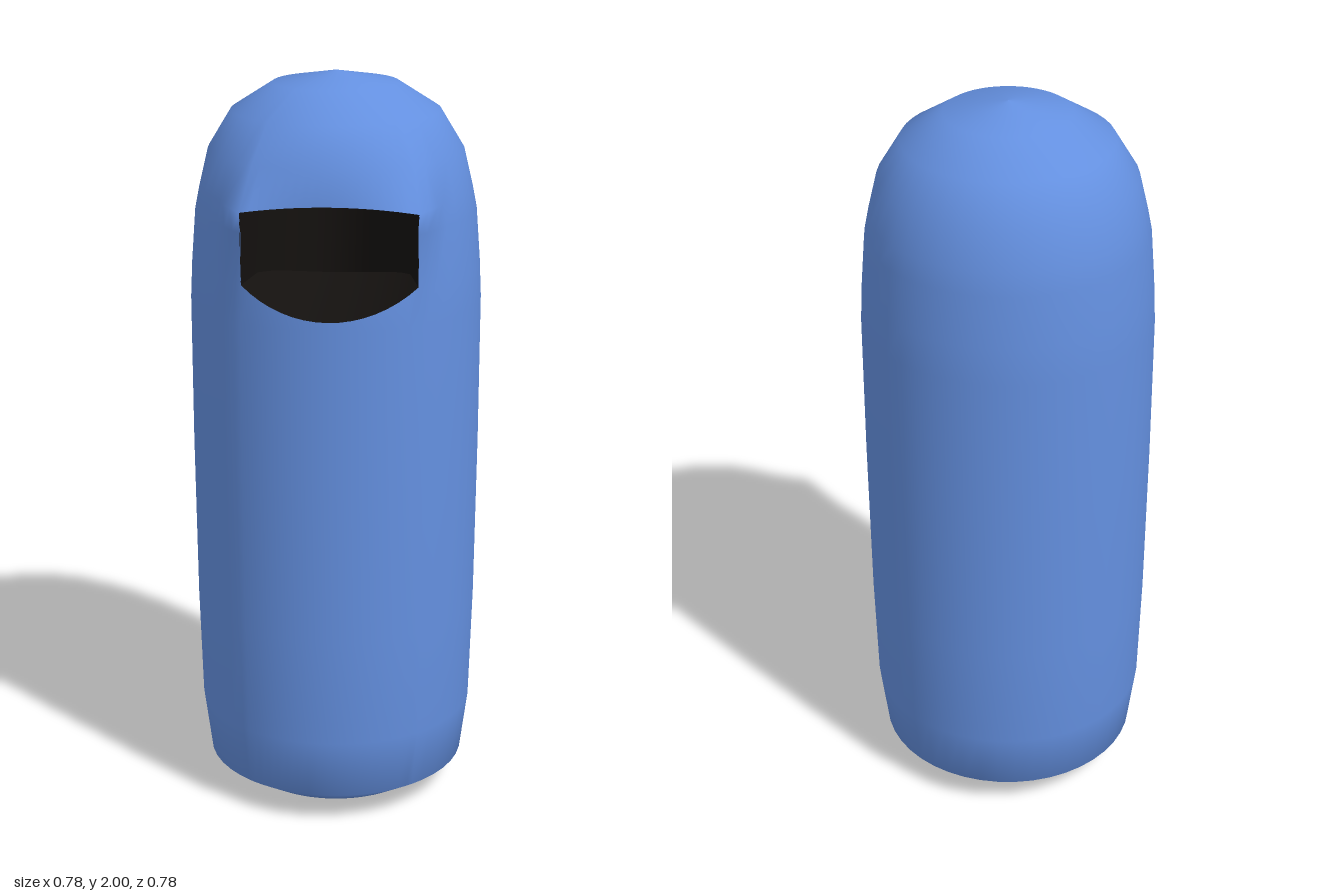
import * as THREE from 'three';
import { toCreasedNormals } from 'three/addons/utils/BufferGeometryUtils.js';

const SECTOR = 36;          // half angle of the opening, degrees
const HALF_W = 0.225;       // half width of the opening
const SILL = 1.5, BROW = 1.7;
const STEPS = 16;           // columns across the opening
const rad = THREE.MathUtils.degToRad;
const lerp = THREE.MathUtils.lerp;

// [radius, height] of the body rings, from the base to the crown
const profile = [
  [0, 0], [0.26, 0.025], [0.355, 0.085], [0.376, 0.25], [0.384, 0.55], [0.388, 1.0],
  [0.388, 1.4], [0.383, SILL], [0.372, 1.64], [0.36, BROW],
  [0.336, 1.8], [0.275, 1.9], [0.165, 1.97], [0, 2],
];
const sillRow = 7, browRow = 9;

// Column angles: evenly across the opening, tight round the cheeks, then round the back
const angles = [];
for (let i = 0; i <= STEPS; i++) angles.push(lerp(-SECTOR, SECTOR, i / STEPS));
angles.push(39, 45);
for (let i = 0; i <= 32; i++) angles.push(lerp(52, 308, i / 32));
angles.push(315, 321);

// Plan of the hood at brow level; null where it is just the round body
function hoodPlan(deg) {
  const a = deg > 180 ? deg - 360 : deg, s = Math.sign(a), m = Math.abs(a);
  if (m <= SECTOR) {
    const u = Math.sin(rad(a)) / Math.sin(rad(SECTOR));
    return [HALF_W * u, 0.345 - 0.01 * u * u];
  }
  if (m === 39) return [s * 0.25, 0.318];
  if (m === 45) return [s * 0.272, 0.272];
  return null;
}

// Point on the shell for a profile row and an angle
function shellPoint(row, deg) {
  let [r, y] = profile[row];
  const a = rad(deg), inside = Math.abs(deg) <= SECTOR;
  if (row === sillRow && inside) {
    // the sill dips towards the middle
    const k = (1 - Math.cos(a)) / (1 - Math.cos(rad(SECTOR)));
    y = lerp(1.425, SILL, k);
    r = lerp(0.388, r, k);
  }
  let x = r * Math.sin(a), z = r * Math.cos(a);
  const hood = hoodPlan(deg);
  if (hood && row > sillRow && row <= browRow) {
    const w = (y - SILL) / (BROW - SILL);
    x = lerp(x, hood[0], w);
    z = lerp(z, hood[1], w);
    if (row === browRow && inside) y += 0.01 - 0.018 * (x / HALF_W) ** 2;
  }
  return [x, y, z];
}

// Skin a table of rows of points; skip(row, column) leaves a hole
function skin(rows, closed, skip = () => false) {
  const n = rows[0].length, index = [];
  for (let j = 0; j < rows.length - 1; j++) {
    for (let i = 0; i < (closed ? n : n - 1); i++) {
      if (skip(j, i)) continue;
      const k = (i + 1) % n;
      const a = j * n + i, b = j * n + k, c = b + n, d = a + n;
      index.push(a, b, c, a, c, d);
    }
  }
  const g = new THREE.BufferGeometry();
  g.setAttribute('position', new THREE.Float32BufferAttribute(rows.flat(2), 3));
  g.setIndex(index);
  g.computeVertexNormals();
  return g;
}

export function createModel() {
  const group = new THREE.Group();

  // Outer shell with the opening left out
  const rows = profile.map((_, row) => angles.map((deg) => shellPoint(row, deg)));
  const shell = new THREE.Mesh(
    skin(rows, true, (j, i) => j >= sillRow && j < browRow && i < STEPS),
    new THREE.MeshStandardMaterial({ color: 0x6490e0 }),
  );
  shell.name = 'shell';
  group.add(shell);

  // Dark rounded pocket behind the opening: sill, floor, back wall, ceiling, brow
  const sill = rows[sillRow].slice(0, STEPS + 1);
  const brow = rows[browRow].slice(0, STEPS + 1);
  const pushBack = (edge) => edge.map(([x, y, z], i) => {
    const u = Math.min(1, Math.abs(x) / Math.abs(edge[0][0]));
    const endZ = edge[0][2];
    return [x, y, i === 0 || i === STEPS ? z : endZ - 0.45 * Math.sqrt(1 - u * u)];
  });
  const pocket = new THREE.Mesh(
    toCreasedNormals(skin([sill, pushBack(sill), pushBack(brow), brow], false), 0.8),
    new THREE.MeshStandardMaterial({ color: 0x14110f, side: THREE.DoubleSide }),
  );
  pocket.name = 'openingPocket';
  group.add(pocket);

  return group;
}
